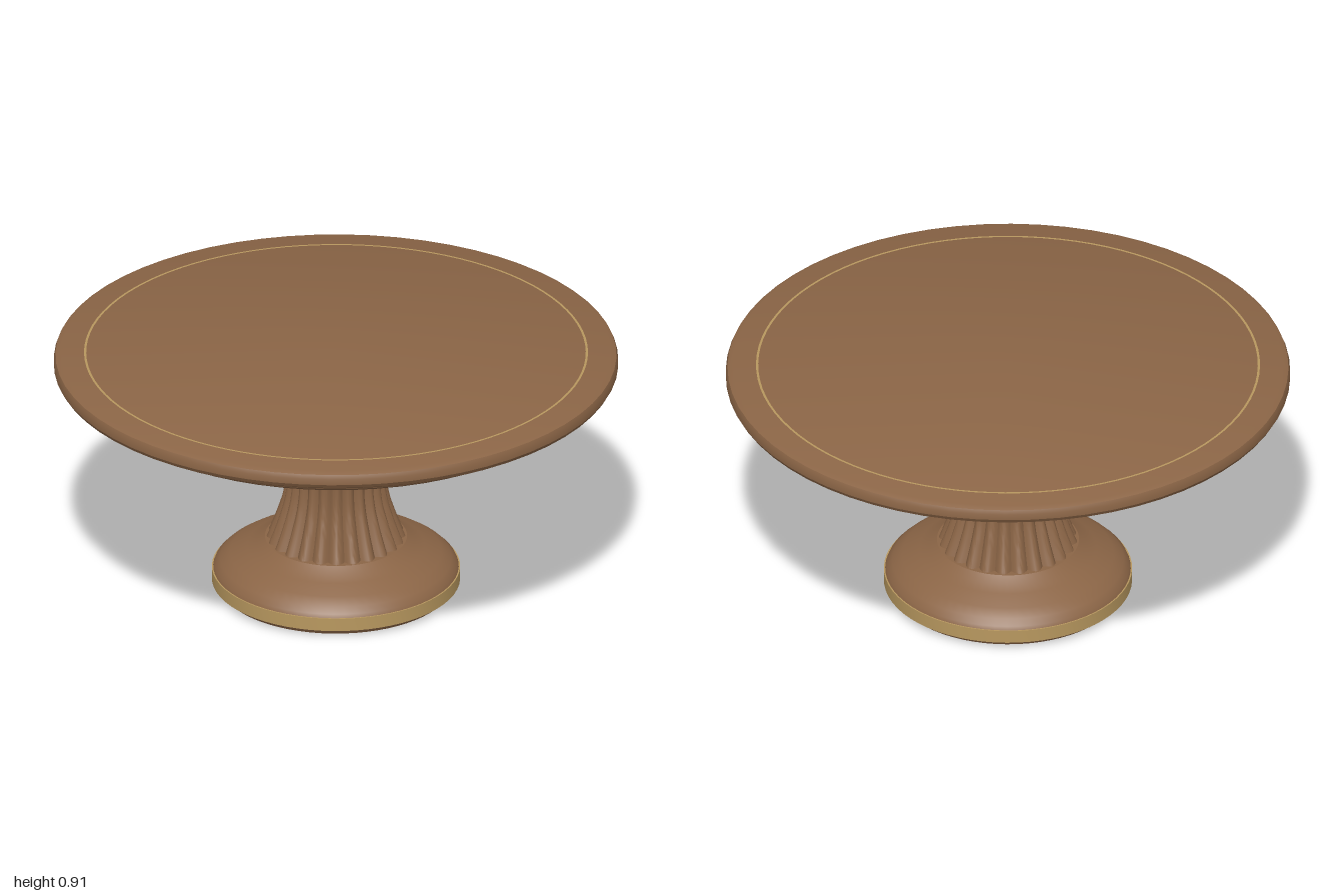
import * as THREE from 'three';
import { toCreasedNormals } from 'three/addons/utils/BufferGeometryUtils.js';

const wood = new THREE.MeshStandardMaterial({ color: 0x8b6546 });
const brass = new THREE.MeshStandardMaterial({ color: 0xb8985f });

const points = (profile) => profile.map(([r, y]) => new THREE.Vector2(r, y));

// Turned part: profile of [radius, height], listed from the bottom up
function turned(name, profile, material, segments = 64) {
  const geometry = toCreasedNormals(new THREE.LatheGeometry(points(profile), segments), 0.5);
  const mesh = new THREE.Mesh(geometry, material);
  mesh.name = name;
  return mesh;
}

// Column with vertical flutes, shallower towards the flared top
function flutedColumn() {
  const flutes = 24;
  const curve = new THREE.SplineCurve(points([
    [0.25, 0.18], [0.215, 0.27], [0.186, 0.37], [0.178, 0.48],
    [0.188, 0.61], [0.235, 0.71], [0.312, 0.79],
  ]));
  const geometry = new THREE.LatheGeometry(curve.getPoints(24), flutes * 8);
  const position = geometry.attributes.position;
  for (let i = 0; i < position.count; i++) {
    const x = position.getX(i), y = position.getY(i), z = position.getZ(i);
    const wave = Math.abs(Math.sin(Math.atan2(x, z) * flutes / 2));
    const fade = 1 - 0.6 * THREE.MathUtils.smoothstep(y, 0.6, 0.78);
    const scale = 1 - 0.09 * fade * (1 - wave);
    position.setXYZ(i, x * scale, y, z * scale);
  }
  const mesh = new THREE.Mesh(toCreasedNormals(geometry, 0.6), wood);
  mesh.name = 'flutedColumn';
  return mesh;
}

export function createModel() {
  const table = new THREE.Group();
  table.name = 'pedestalTable';

  // Foot, brass band and domed base
  table.add(turned('foot', [[0, 0], [0.41, 0], [0.43, 0.03], [0, 0.03]], wood));
  table.add(turned('baseBand', [[0, 0.024], [0.44, 0.024], [0.44, 0.072], [0, 0.072]], brass));
  table.add(turned('domedBase', [
    [0.436, 0.07], [0.43, 0.085], [0.41, 0.105], [0.375, 0.128],
    [0.315, 0.152], [0.28, 0.17], [0.252, 0.19], [0, 0.19],
  ], wood));

  table.add(flutedColumn());

  // Moulded apron under the top
  table.add(turned('apron', [
    [0, 0.782], [0.872, 0.782], [0.895, 0.797], [0.903, 0.815],
    [0.912, 0.832], [0.912, 0.842], [0, 0.842],
  ], wood));

  // Round top with a softened edge
  table.add(turned('tableTop', [
    [0, 0.838], [0.975, 0.838], [0.992, 0.848], [1, 0.862],
    [1, 0.884], [0.994, 0.899], [0.975, 0.907], [0, 0.907],
  ], wood));

  // Thin inlay line
  const inlay = new THREE.Mesh(new THREE.RingGeometry(0.885, 0.893, 96), brass);
  inlay.name = 'inlayRing';
  inlay.rotation.x = -Math.PI / 2;
  inlay.position.y = 0.909;
  table.add(inlay);

  return table;
}
